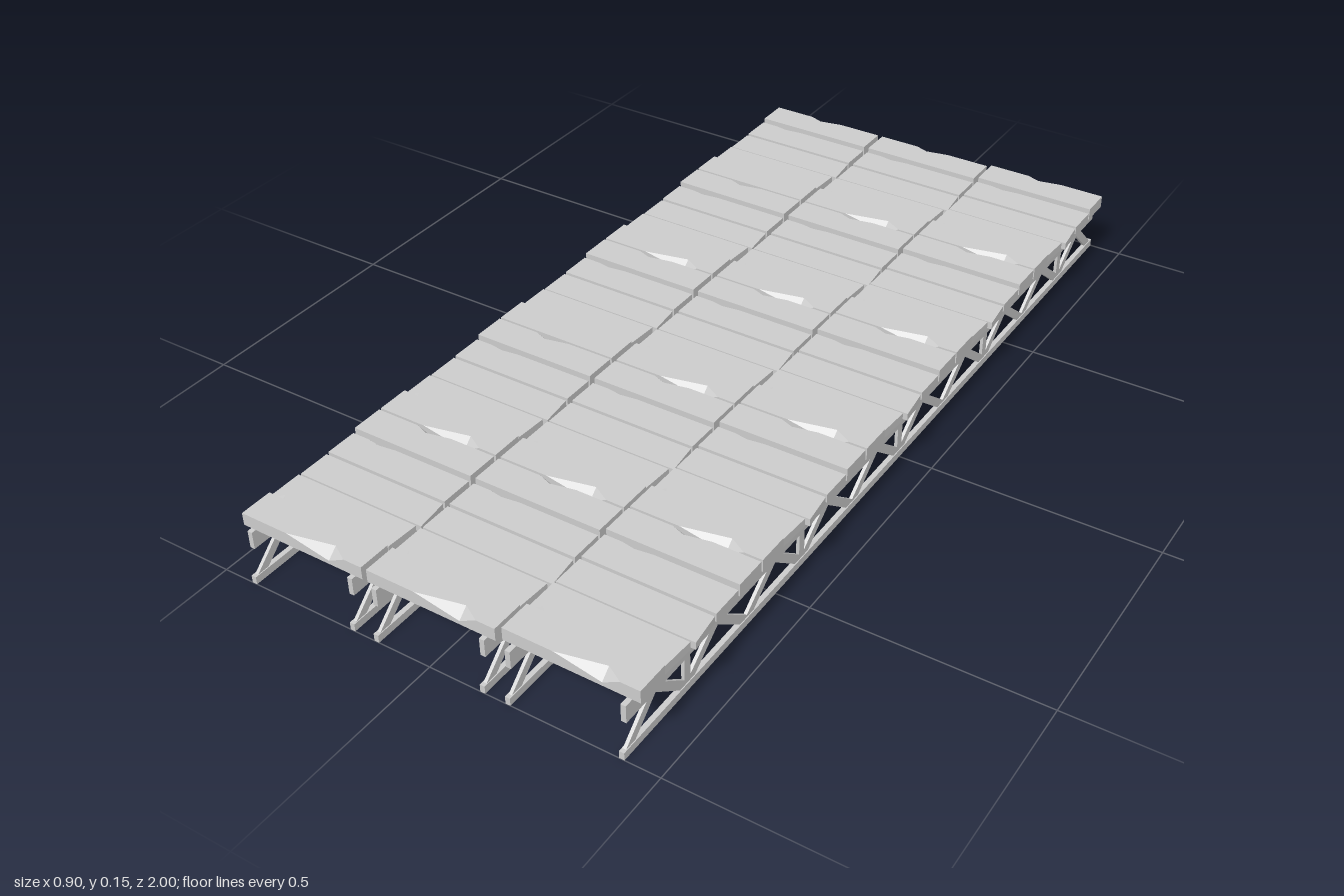
import * as THREE from 'three';

const material = new THREE.MeshStandardMaterial({ color: 0xcccccc, flatShading: true });

const DECK_Y = 0.119; // underside of the planks
const PITCH = 0.0786; // plank spacing along z
const MODULES = 5; // repeats of the five-plank pattern

// Five plank types. chips: [start, apex, end (along x), inset, depth, side], side +1 = front edge
const PLANKS = [
  { top: 0.147, skew: 0, chips: [[0.10, 0.13, 0.185, 0.011, 0.012, -1]] },
  { top: 0.138, skew: 0, chips: [[0.04, 0.07, 0.11, 0.005, 0.006, -1]] },
  { top: 0.136, skew: 0.008, chips: [] },
  { top: 0.138, skew: -0.004, chips: [[0.012, 0.022, 0.036, 0.012, 0.012, 1]] },
  { top: 0.147, skew: 0, chips: [[0.11, 0.212, 0.25, 0.022, 0.02, 1]] },
];

// Plank lofted along x from six-sided sections whose top edges can be chipped
function plankGeometry({ top, skew, chips }, length, width) {
  const xs = [0, length];
  chips.forEach((c) => xs.push(c[0], c[1], c[2]));
  xs.sort((a, b) => a - b);
  const half = width / 2;
  const chipAt = (x, side) => chips.find((c) => c[1] === x && c[5] === side) || [0, 0, 0, 0, 0];
  const rings = xs.map((x) => {
    const f = chipAt(x, 1);
    const b = chipAt(x, -1);
    const section = [
      [-half, DECK_Y], [half, DECK_Y], [half, top - f[4]],
      [half - f[3], top], [-half + b[3], top], [-half, top - b[4]],
    ];
    return section.map(([z, y]) => [x + (x === length && z > 0 ? skew : 0), y, z]);
  });
  const pos = [];
  const tri = (a, b, c) => pos.push(...a, ...b, ...c);
  for (let i = 0; i < rings.length - 1; i++) {
    for (let j = 0; j < 6; j++) {
      const k = (j + 1) % 6;
      const [a, b, c, d] = [rings[i][j], rings[i][k], rings[i + 1][k], rings[i + 1][j]];
      tri(a, d, c);
      tri(a, c, b);
    }
  }
  const last = rings[rings.length - 1];
  for (let j = 1; j < 5; j++) {
    tri(rings[0][0], rings[0][j], rings[0][j + 1]);
    tri(last[0], last[j + 1], last[j]);
  }
  const g = new THREE.BufferGeometry();
  g.setAttribute('position', new THREE.Float32BufferAttribute(pos, 3));
  g.computeVertexNormals();
  return g;
}

function bar(name, w, h, d, y, z) {
  const m = new THREE.Mesh(new THREE.BoxGeometry(w, h, d), material);
  m.name = name;
  m.position.set(0, y, z);
  return m;
}

// Side truss: top rail, bottom chord, zigzag braces and posts
function createTruss() {
  const truss = new THREE.Group();
  truss.name = 'truss';
  truss.add(bar('topRail', 0.011, 0.039, 1.98, 0.0995, 0));
  truss.add(bar('bottomChord', 0.011, 0.017, 2, 0.0085, 0));
  const y0 = 0.01;
  const y1 = 0.088;
  for (let i = 0; i < 20; i++) {
    let za = -1 + i * 0.1;
    let zb = za + 0.1;
    // outermost braces start just inside the chord ends
    if (i === 0) za += 0.015;
    if (i === 19) zb -= 0.015;
    const rise = (i % 2 ? -1 : 1) * (y1 - y0);
    const brace = bar('brace', 0.007, 0.019, Math.hypot(zb - za, rise), (y0 + y1) / 2, (za + zb) / 2);
    brace.rotation.x = -Math.atan2(rise, zb - za);
    truss.add(brace);
  }
  for (let i = -2; i <= 2; i++) truss.add(bar('post', 0.007, 0.08, 0.019, 0.048, i * 0.4));
  return truss;
}

export function createModel() {
  const model = new THREE.Group();
  model.name = 'boardwalk';

  // Three deck lanes: left edge, z shift and the x of both trusses
  const lanes = [
    { x: -0.45, dz: 0, rails: [-0.426, -0.181] },
    { x: -0.147, dz: 0, rails: [-0.124, 0.121] },
    { x: 0.152, dz: -0.009, rails: [0.177, 0.42] },
  ];
  const geometries = PLANKS.map((p) => plankGeometry(p, 0.291, 0.073));
  const wholeEnd = plankGeometry({ ...PLANKS[4], chips: [] }, 0.291, 0.073);

  lanes.forEach(({ x, dz, rails }, lane) => {
    const group = new THREE.Group();
    group.name = 'deckLane';
    for (let n = 0; n < MODULES * 5; n++) {
      const type = n % 5;
      const module = Math.floor(n / 5);
      // two end planks of the first lane are unchipped
      const whole = type === 4 && lane === 0 && (module === 0 || module === 2);
      const plank = new THREE.Mesh(whole ? wholeEnd : geometries[type], material);
      plank.name = 'plank';
      plank.position.set(x, 0, (n - 12) * PITCH + dz);
      group.add(plank);
    }
    rails.forEach((rx) => {
      const truss = createTruss();
      truss.position.x = rx;
      group.add(truss);
    });
    model.add(group);
  });
  return model;
}
